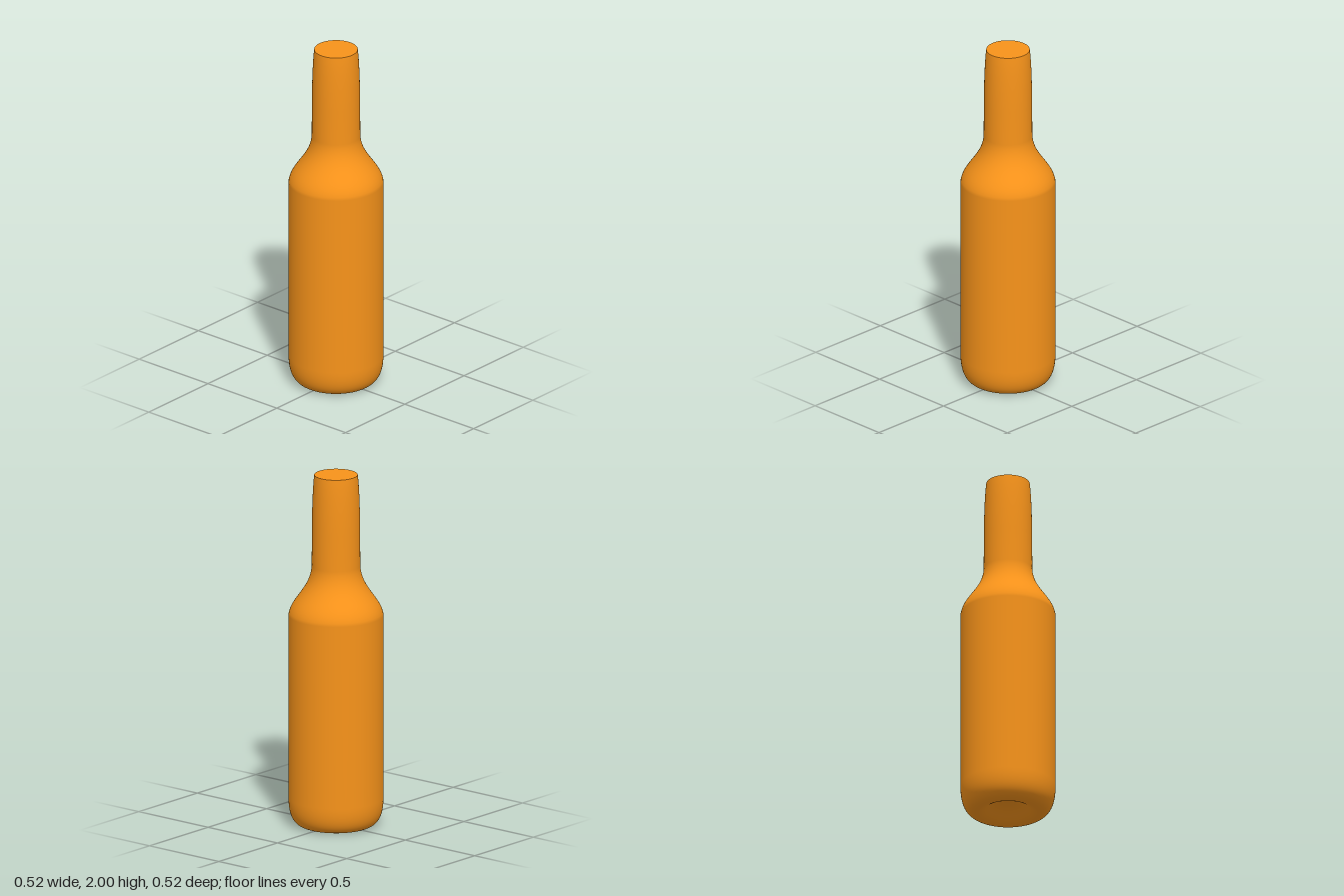
import * as THREE from 'three';

const SEGMENTS = 96;

export function createModel() {
  const group = new THREE.Group();
  group.name = 'bottle';
  const glass = new THREE.MeshStandardMaterial({ color: 0xf7931a });

  // Outline from the recessed base up to the mouth
  const outline = new THREE.Path();
  outline.moveTo(0, 0.07);
  outline.bezierCurveTo(0.08, 0.07, 0.12, 0, 0.17, 0); // recess under the base
  outline.bezierCurveTo(0.23, 0, 0.262, 0.05, 0.262, 0.16); // rounded heel
  outline.lineTo(0.262, 1.2); // straight wall
  outline.bezierCurveTo(0.25, 1.29, 0.14, 1.35, 0.134, 1.48); // shoulder
  outline.lineTo(0.133, 1.68); // neck
  outline.bezierCurveTo(0.132, 1.8, 0.129, 1.92, 0.12, 2); // taper to the mouth

  const body = new THREE.Mesh(new THREE.LatheGeometry(outline.getPoints(16), SEGMENTS), glass);
  body.name = 'body';
  group.add(body);

  // Flat closed top
  const top = new THREE.Mesh(new THREE.CircleGeometry(0.12, SEGMENTS), glass);
  top.name = 'mouthCap';
  top.rotation.x = -Math.PI / 2;
  top.position.y = 2;
  group.add(top);

  return group;
}
